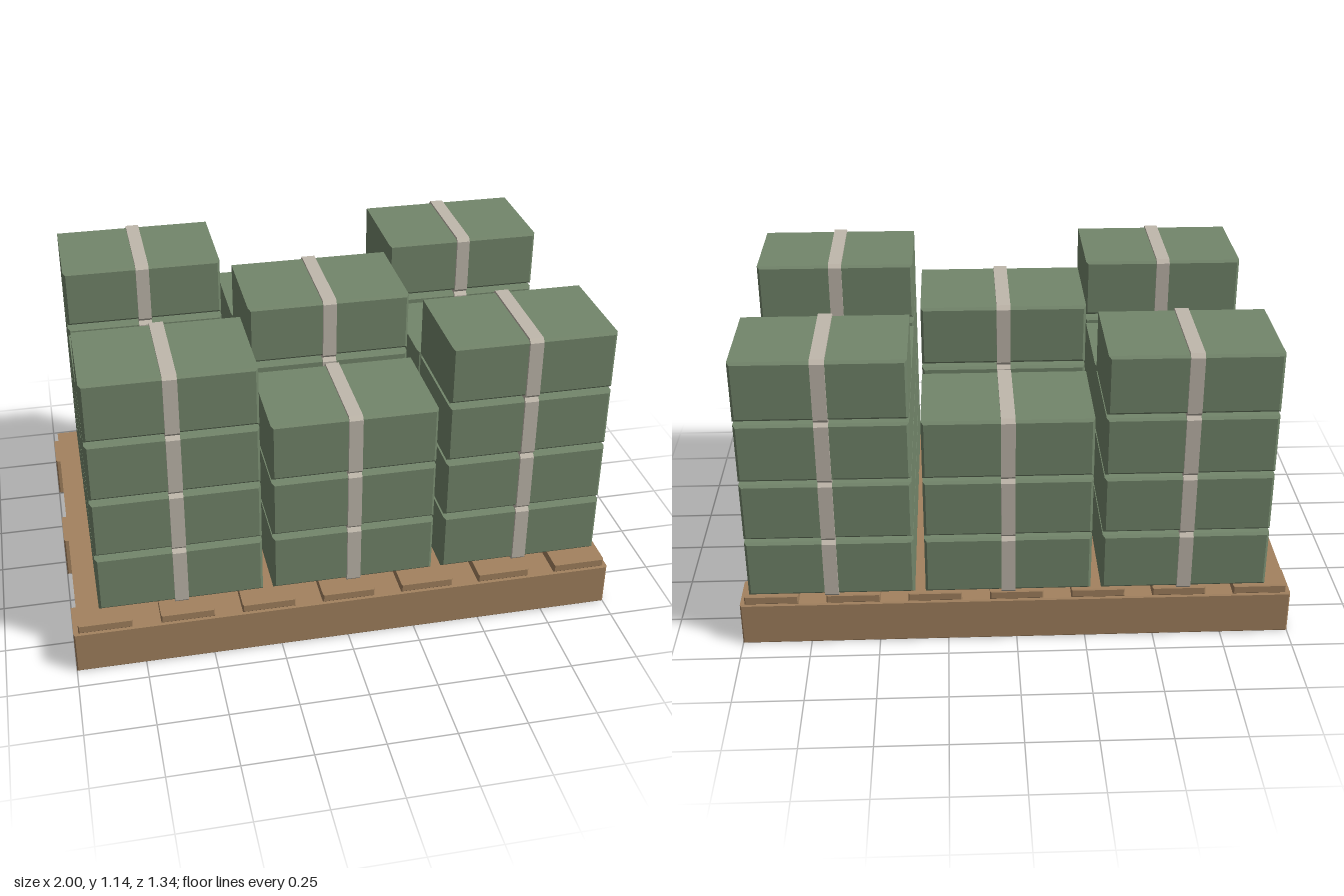
import * as THREE from 'three';

const material = (color) => new THREE.MeshStandardMaterial({ color, flatShading: true });

// Box with a single flat chamfer along every edge, centred on the origin
function chamferedBox(w, h, d, c) {
  const x = w / 2 - c, y = h / 2 - c;
  const shape = new THREE.Shape();
  shape.moveTo(-x, -y);
  shape.lineTo(x, -y);
  shape.lineTo(x, y);
  shape.lineTo(-x, y);
  shape.closePath();
  const geometry = new THREE.ExtrudeGeometry(shape, {
    depth: d - 2 * c, bevelEnabled: true, bevelSegments: 1, bevelSize: c, bevelThickness: c,
  });
  return geometry.translate(0, 0, -d / 2 + c);
}

function place(parent, name, geometry, mat, x, y, z) {
  const mesh = new THREE.Mesh(geometry, mat);
  mesh.name = name;
  mesh.position.set(x, y, z);
  parent.add(mesh);
  return mesh;
}

export function createModel() {
  const model = new THREE.Group();
  model.name = 'loadedPallet';
  const wood = material(0xa3825f);
  const green = material(0x73866b);
  const tape = material(0xc0b8ac);

  // Pallet: three long runners under seven cross slats
  const pallet = new THREE.Group();
  pallet.name = 'pallet';
  model.add(pallet);
  const runner = chamferedBox(2, 0.166, 0.163, 0.005);
  for (const z of [-0.58, 0.003, 0.587]) place(pallet, 'runner', runner, wood, 0, 0.083, z);
  const slat = chamferedBox(0.194, 0.034, 1.33, 0.004);
  for (let i = -3; i <= 3; i++) place(pallet, 'slat', slat, wood, i * 0.295, 0.186, 0.003);

  // Cargo: 3 x 3 stacks, four high at the corners and centre, three high between
  const [w, h, d] = [0.596, 0.219, 0.394];
  const crate = chamferedBox(w, h, d, 0.009);

  // Strap: a thin band with cut corners wrapped round one crate
  const sy = h / 2 + 0.008, sz = d / 2 + 0.009, cut = 0.014;
  const band = (y, z, c) => [
    [-z + c, -y], [z - c, -y], [z, -y + c], [z, y - c],
    [z - c, y], [-z + c, y], [-z, y - c], [-z, -y + c],
  ].map(([a, b]) => new THREE.Vector2(a, b));
  const profile = new THREE.Shape(band(sy, sz, cut));
  profile.holes.push(new THREE.Path(band(sy - 0.01, sz - 0.011, 0.01).reverse()));
  const strap = new THREE.ExtrudeGeometry(profile, { depth: 0.05, bevelEnabled: false });
  strap.translate(0, 0, -0.025).rotateY(Math.PI / 2);

  for (let col = -1; col <= 1; col++) {
    for (let row = -1; row <= 1; row++) {
      const stack = new THREE.Group();
      stack.name = 'crateStack';
      stack.position.set(0.031 + col * 0.634, 0, -0.032 + row * 0.434);
      model.add(stack);
      const count = (col + row) % 2 === 0 ? 4 : 3;
      for (let level = 0; level < count; level++) {
        const y = 0.319 + level * 0.2335;
        place(stack, 'crate', crate, green, 0, y, 0);
        place(stack, 'strap', strap, tape, 0, y, 0);
      }
    }
  }
  return model;
}
